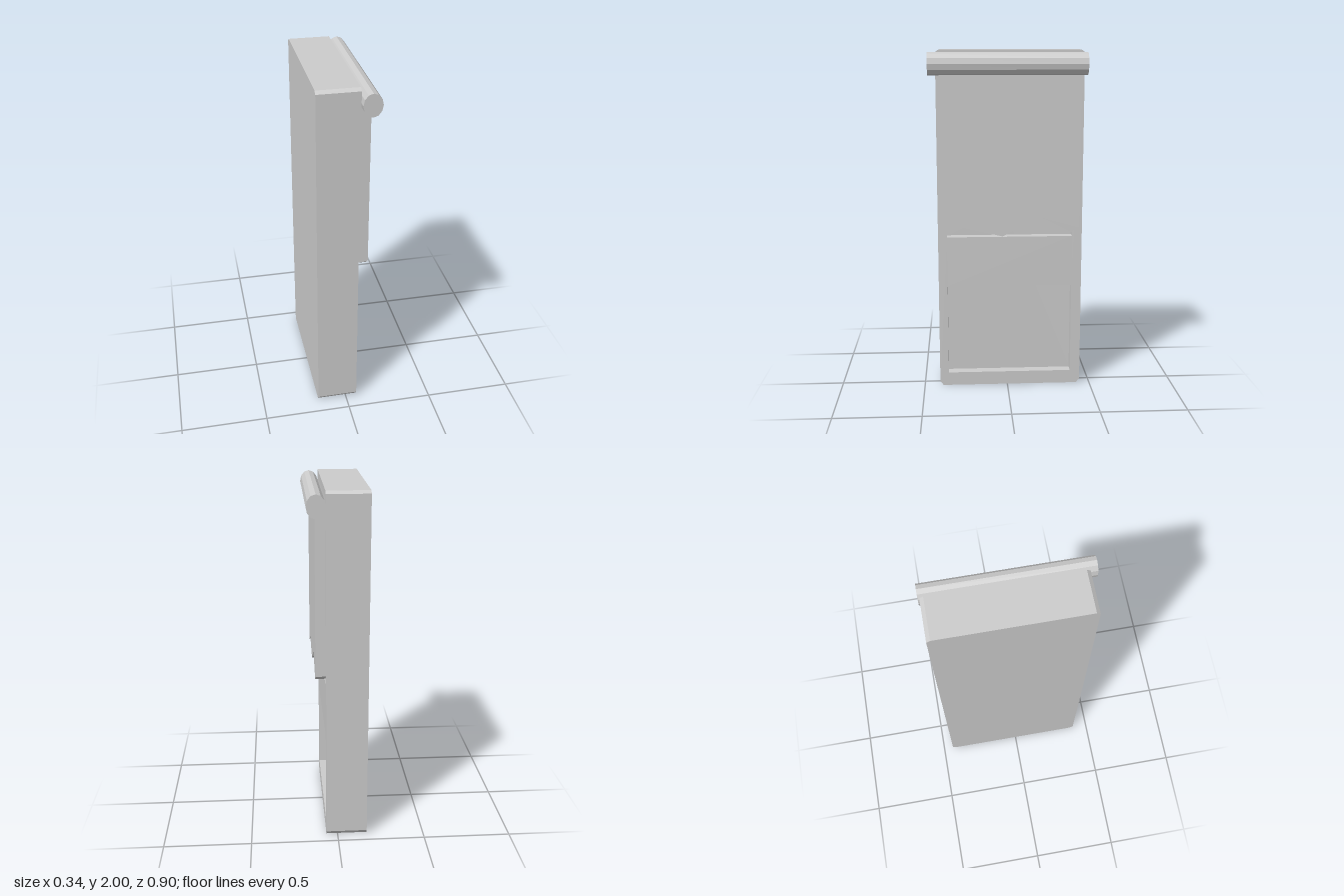
import * as THREE from 'three';

const material = new THREE.MeshStandardMaterial({ color: 0xcccccc, flatShading: true });

// Outline points are [z, y]; the plate is extruded from x0 to x1.
const toPoints = (list) => list.map(([z, y]) => new THREE.Vector2(-z, y));

function plate(name, outline, x0, x1, holes = []) {
  const shape = new THREE.Shape(toPoints(outline));
  for (const hole of holes) shape.holes.push(new THREE.Path(toPoints(hole)));
  const geometry = new THREE.ExtrudeGeometry(shape, { depth: x1 - x0, bevelEnabled: false });
  geometry.rotateY(Math.PI / 2).translate(x0, 0, 0);
  const mesh = new THREE.Mesh(geometry, material);
  mesh.name = name;
  return mesh;
}

const rect = (z0, z1, y0, y1) => [[z0, y0], [z1, y0], [z1, y1], [z0, y1]];

export function createModel() {
  const group = new THREE.Group();
  group.name = 'windowWithBlind';

  // Slab with small chamfered corners
  const zMin = -0.44, zMax = 0.407, c = 0.02;
  const outline = [
    [zMax, 0.025], [zMax - c, 0], [zMin + c, 0], [zMin, 0.025],
    [zMin, 1.985], [zMin + c, 2], [zMax - c, 2], [zMax, 1.985],
  ];
  group.add(plate('backSlab', outline, -0.17, 0.007));

  // Front layer with two recessed panes
  group.add(plate('frame', outline, 0.007, 0.065, [
    rect(-0.382, 0.355, 0.08, 0.62),
    rect(-0.382, 0.355, 0.92, 1.96),
  ]));

  // Hanging sheet with a torn lower edge
  group.add(plate('tornSheet', [
    [0.387, 1.92], [0.387, 0.96], [0.36, 0.94], [0.26, 0.99], [0.03, 0.935],
    [-0.18, 1.05], [-0.37, 0.955], [-0.415, 0.985], [-0.415, 1.92],
  ], 0.065, 0.122));

  // Slightly oval roll across the top
  const rollGeometry = new THREE.CylinderGeometry(1, 1, 0.9, 12);
  rollGeometry.rotateX(Math.PI / 2).scale(0.052, 0.064, 1);
  const roll = new THREE.Mesh(rollGeometry, material);
  roll.name = 'roll';
  roll.position.set(0.116, 1.922, 0);
  group.add(roll);

  return group;
}
